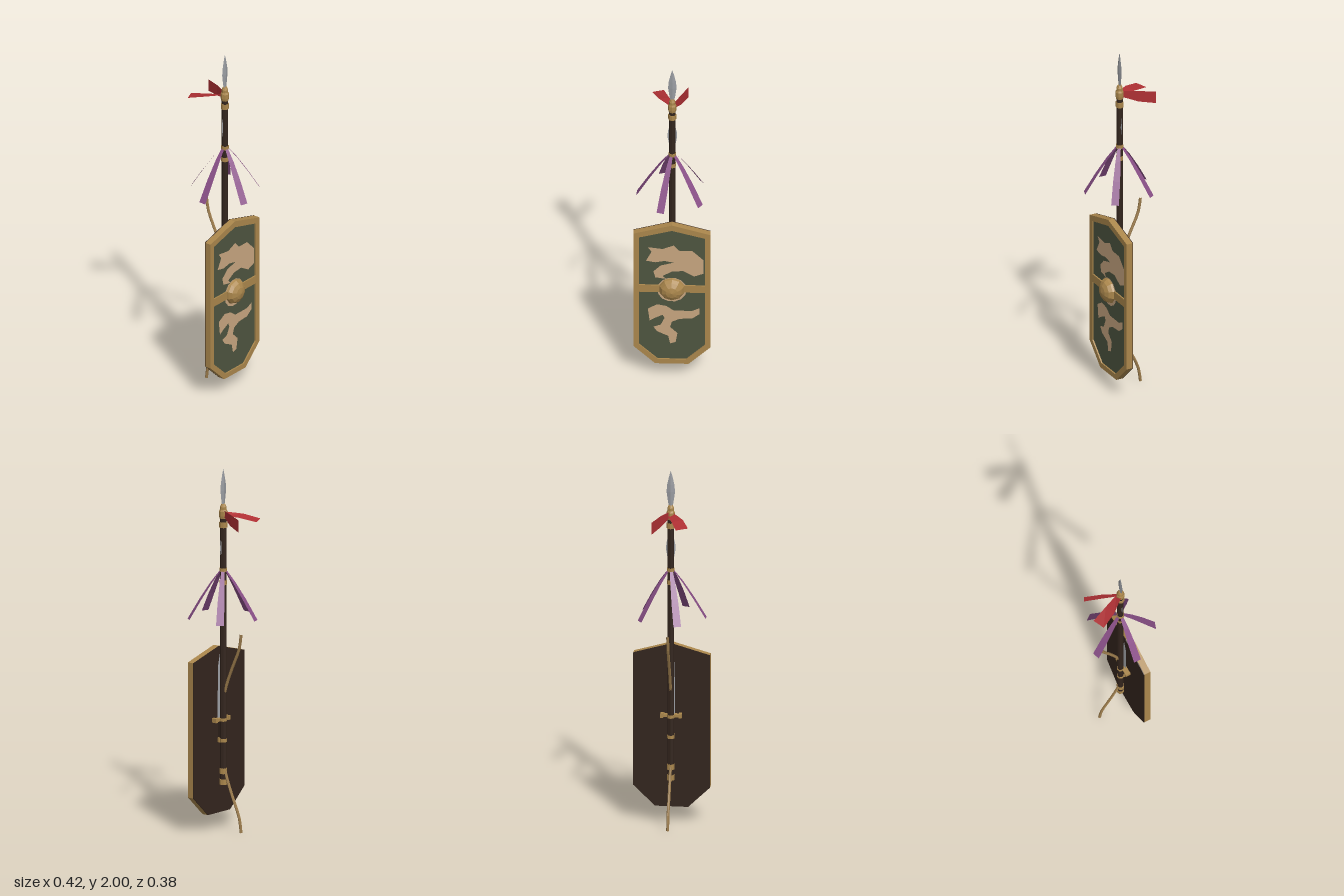
import * as THREE from 'three';

const mat = (name, color, side = THREE.FrontSide) =>
  Object.assign(new THREE.MeshStandardMaterial({ color, side, flatShading: true }), { name });

export function createModel() {
  const root = new THREE.Group();
  root.name = 'spearShieldAndBow';
  const brass = mat('brass', 0xab874c);
  const wood = mat('darkWood', 0x33251d);
  const steel = mat('steel', 0x9a9da2);
  const green = mat('greenPaint', 0x4e5540);
  const beige = mat('beigePaint', 0xc8a680);
  const purple = mat('purpleCloth', 0x8a5088, THREE.DoubleSide);
  const red = mat('redCloth', 0xb03034, THREE.DoubleSide);
  const bowWood = mat('bowWood', 0x9c7c4c);

  const add = (name, geo, material, x = 0, y = 0, z = 0) => {
    const m = new THREE.Mesh(geo, material);
    m.name = name;
    m.position.set(x, y, z);
    root.add(m);
    return m;
  };
  const vec2 = (pts, s = 1) => pts.map(([x, y]) => new THREE.Vector2(x * s, y * s));
  const lathe = (pts, sides) => new THREE.LatheGeometry(vec2(pts), sides);
  const plate = (shape, depth) => new THREE.ExtrudeGeometry(shape, { depth, bevelEnabled: false });

  // Shaft with its bands
  add('shaft', new THREE.CylinderGeometry(0.018, 0.018, 1.5, 8), wood, 0, 1.01);
  const band = (name, y, h, r) => add(name, new THREE.CylinderGeometry(r, r, h, 8), brass, 0, y);
  band('buttCap', 0.265, 0.03, 0.021);
  band('buttBand', 0.325, 0.03, 0.021);
  band('lowerRibbonBand', 1.37, 0.025, 0.02);
  band('ribbonBand', 1.44, 0.02, 0.021);
  band('neckBand', 1.69, 0.03, 0.022);
  add('headSocket', lathe([[0, 1.725], [0.02, 1.725], [0.023, 1.74], [0.023, 1.765],
    [0.018, 1.775], [0.018, 1.79], [0.011, 1.805], [0, 1.805]], 8), brass);

  // Flat diamond-section blades
  add('spearHead', lathe([[0, 1.79], [0.009, 1.79], [0.016, 1.83], [0.023, 1.88],
    [0.02, 1.92], [0.01, 1.965], [0, 2]], 4), steel).scale.z = 0.3;
  add('sideBlade', lathe([[0, 1.47], [0.018, 1.51], [0.026, 1.555], [0.024, 1.59],
    [0.017, 1.62], [0, 1.65]], 4), steel).scale.z = 0.25;

  // Cloth strip from pairs of edge points
  const strip = (name, pairs, material) => {
    const pos = pairs.flat(2);
    const index = [];
    for (let i = 0; i < pairs.length - 1; i++) {
      const a = i * 2;
      index.push(a, a + 2, a + 1, a + 1, a + 2, a + 3);
    }
    const g = new THREE.BufferGeometry();
    g.setAttribute('position', new THREE.Float32BufferAttribute(pos, 3));
    g.setIndex(index);
    g.computeVertexNormals();
    return add(name, g, material);
  };

  // Five hanging ribbons
  const ribbon = [[0.01, 1.445, 0.008], [0.065, 1.375, 0.014], [0.125, 1.285, 0.019], [0.192, 1.175, 0.021]];
  for (let i = 0; i < 5; i++) {
    strip('ribbon', ribbon.map(([r, y, w]) => [[r, y, -w], [r, y, w]]), purple)
      .rotation.y = (36 + 72 * i) * Math.PI / 180;
  }

  // Two streamers, one lying flat and one upright
  strip('flatStreamer', [
    [[-0.018, 1.76, -0.005], [0.014, 1.745, -0.015]],
    [[-0.076, 1.75, -0.08], [-0.018, 1.74, -0.1]],
    [[-0.115, 1.73, -0.165], [-0.052, 1.725, -0.193]]], red);
  strip('uprightStreamer', [
    [[0.005, 1.735, -0.01], [0.005, 1.77, -0.01]],
    [[0.045, 1.705, -0.09], [0.045, 1.768, -0.09]],
    [[0.082, 1.69, -0.18], [0.082, 1.758, -0.18]]], red);

  // Shield: backing, rim, painted panel
  const outline = [[0, 1.012], [-0.208, 0.953], [-0.208, 0.203], [-0.09, 0.09],
    [0.09, 0.09], [0.208, 0.203], [0.208, 0.953]];
  const inner = [[0, 0.976], [-0.178, 0.928], [-0.178, 0.215], [-0.077, 0.119],
    [0.077, 0.119], [0.178, 0.215], [0.178, 0.928]];
  const rim = new THREE.Shape(vec2(outline));
  rim.holes.push(new THREE.Path(vec2(inner)));
  add('shieldBack', plate(new THREE.Shape(vec2(outline)), 0.004), wood, 0, 0, 0.03);
  add('shieldRim', plate(rim, 0.036), brass, 0, 0, 0.034);
  add('shieldPanel', plate(new THREE.Shape(vec2(inner)), 0.028), green, 0, 0, 0.034);
  add('shieldCrossBand', new THREE.BoxGeometry(0.36, 0.045, 0.008), brass, 0, 0.588, 0.066);

  // Painted curls, in hundredths
  const curls = [
    [[-14, 77], [-11, 83], [-13, 86], [-5, 85], [1, 87.5], [4, 84], [11, 84], [17, 78], [17, 69],
      [12, 67], [6, 70.5], [0, 70], [-5, 67], [-3, 65], [-9, 66], [-10, 70], [-6, 74], [1, 76],
      [-4, 77], [-9, 76]],
    [[-13, 45], [-8, 48], [-3, 47], [1, 44], [11, 44], [15, 46], [15, 42], [11, 39], [4, 38.5],
      [0, 36.5], [-1, 33], [3, 29], [2, 23], [-1, 22], [-2, 27], [-8, 30], [-10, 33], [-6, 34.5],
      [-4, 39], [-5, 41], [-9, 39], [-12, 37]]];
  for (const c of curls) {
    add('paintedCurl', new THREE.ShapeGeometry(new THREE.Shape(vec2(c, 0.01))), beige, 0, 0, 0.064);
  }
  add('bossPaint', new THREE.CircleGeometry(0.08, 14), beige, 0, 0.58, 0.064);

  // Faceted boss
  const boss = lathe([[0.071, 0], [0.068, 0.012], [0.056, 0.03], [0.033, 0.043], [0, 0.05]], 10);
  add('shieldBoss', boss, brass, 0, 0.588, 0.066).rotation.x = Math.PI / 2;

  // Short sword between shaft and shield
  add('swordBlade', lathe([[0, 0.61], [0.02, 0.61], [0.018, 0.9], [0, 0.98]], 4),
    steel, 0, 0, 0.023).scale.z = 0.25;
  add('swordGuard', new THREE.BoxGeometry(0.1, 0.016, 0.03), brass, 0, 0.61, 0.018);
  for (const s of [-1, 1]) {
    add('guardEnd', new THREE.BoxGeometry(0.016, 0.024, 0.034), brass, s * 0.05, 0.61, 0.018);
  }
  add('swordGrip', new THREE.CylinderGeometry(0.01, 0.01, 0.11, 8), wood, 0, 0.55, 0.02);
  add('swordPommel', new THREE.CylinderGeometry(0.018, 0.018, 0.024, 8), brass, 0, 0.495, 0.018);
  band('middleBand', 0.495, 0.018, 0.02);
  band('upperBand', 0.61, 0.018, 0.02);

  // Recurved bow, mirrored about its middle
  const limb = [[0.55, 0.13], [0.45, 0.045], [0.35, -0.095], [0.25, -0.02], [0, 0.006]];
  const half = [[0.55, -0.128], [0.47, -0.115], [0.35, -0.062], [0.25, -0.022], [0.17, -0.002]];
  const path = [...half.map(([d, z]) => new THREE.Vector3(0, 0.55 + d, z)),
    ...half.slice().reverse().map(([d, z]) => new THREE.Vector3(0, 0.55 - d, z))];
  add('bow', new THREE.TubeGeometry(new THREE.CatmullRomCurve3(path), 28, 0.008, 6), bowWood);
  return root;
}
